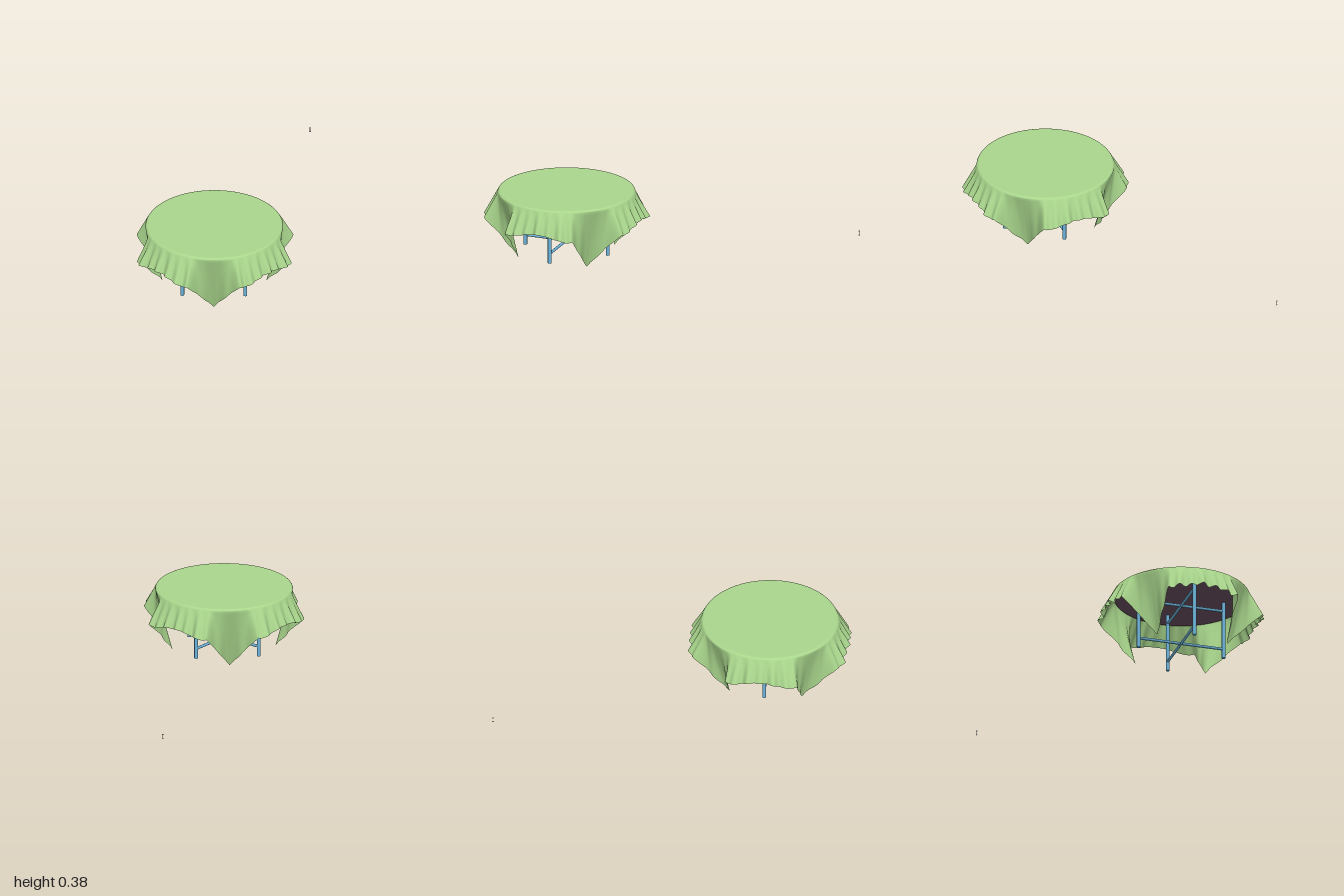
import * as THREE from 'three';

const TOP = 0.38, RIM = 0.4;
const material = (color, side = THREE.FrontSide) => new THREE.MeshStandardMaterial({ color, side });
const smooth = THREE.MathUtils.smoothstep;

// Hem of the square cloth: bulging lobes on the axes, corners tucked in on the diagonals
function hemAt(theta) {
  const quarter = Math.PI / 2;
  const phi = theta - Math.round(theta / quarter) * quarter;
  const s = Math.abs(Math.sin(phi)), c = Math.cos(phi);
  const lobe = 0.456 / Math.pow(c, 0.6), wall = 0.21 / Math.max(s, 0.01);
  const r = Math.pow(Math.pow(lobe, -24) + Math.pow(wall, -24), -1 / 24);
  const along = THREE.MathUtils.clamp((r * c - 0.21) / 0.21, 0, 1); // 0 at corner, 1 at lobe
  const middle = 0.215 + 0.028 * (1 - smooth(Math.abs(phi), 0.05, 0.4));
  return { r, y: THREE.MathUtils.lerp(0.002, middle, along), lobe: smooth(along, 0.15, 1) };
}

function clothGeometry() {
  const segments = 400, bend = 0.018, drops = 20;
  const rows = [];
  // Flat top, then the rounded rim
  [0, 0.13, 0.26, 0.36].forEach(r => rows.push(() => [r, TOP]));
  for (let k = 0; k <= 4; k++) {
    const a = k / 4 * 1.2;
    rows.push(() => [RIM - bend + bend * Math.sin(a), TOP - bend + bend * Math.cos(a)]);
  }
  // Hanging skirt with folds that deepen towards the hem
  const startR = RIM - bend + bend * Math.sin(1.2), startY = TOP - bend + bend * Math.cos(1.2);
  for (let k = 1; k <= drops; k++) {
    const t = k / drops;
    rows.push(theta => {
      const hem = hemAt(theta);
      const wave = Math.cos(40 * theta + 0.6 * Math.sin(3 * theta)) + 0.45 * Math.sin(23 * theta + 1);
      const fold = 0.011 * wave * Math.pow(t, 0.8) * (0.3 + 0.7 * hem.lobe);
      const y = hem.y + 0.005 * wave * hem.lobe;
      return [startR + (hem.r - startR) * t + fold, startY + (y - startY) * t];
    });
  }
  const positions = [], index = [];
  rows.forEach((row, i) => {
    for (let j = 0; j < segments; j++) {
      const theta = j / segments * Math.PI * 2;
      const [r, y] = row(theta);
      positions.push(r * Math.sin(theta), y, r * Math.cos(theta));
      if (i === 0) continue;
      const next = (j + 1) % segments;
      const a = (i - 1) * segments + j, b = (i - 1) * segments + next;
      const c = i * segments + j, d = i * segments + next;
      index.push(c, d, a);
      if (i > 1) index.push(d, b, a);
    }
  });
  const geometry = new THREE.BufferGeometry();
  geometry.setAttribute('position', new THREE.Float32BufferAttribute(positions, 3));
  geometry.setIndex(index);
  geometry.computeVertexNormals();
  // The centre vertices share one upward normal
  for (let j = 0; j < segments; j++) geometry.attributes.normal.setXYZ(j, 0, 1, 0);
  return geometry;
}

export function createModel() {
  const model = new THREE.Group();
  const table = new THREE.Group();
  table.name = 'table';
  table.position.set(-0.522, 0, 0.144);
  model.add(table);

  const add = (parent, name, geometry, mat, x = 0, y = 0, z = 0) => {
    const mesh = new THREE.Mesh(geometry, mat);
    mesh.name = name;
    mesh.position.set(x, y, z);
    parent.add(mesh);
    return mesh;
  };

  add(table, 'tablecloth', clothGeometry(), material(0xa9d68c, THREE.DoubleSide));
  add(table, 'tabletop', new THREE.CylinderGeometry(0.388, 0.388, 0.014, 96), material(0x6b5060), 0, 0.368, 0);

  // Four legs on the axes
  const blue = material(0x6cb4dc);
  const legGeometry = new THREE.CylinderGeometry(0.011, 0.011, 0.353, 20);
  for (let i = 0; i < 4; i++) {
    const a = i * Math.PI / 2;
    add(table, 'leg', legGeometry, blue, 0.258 * Math.sin(a), 0.1865, 0.258 * Math.cos(a));
  }

  // Crossed stretchers near the floor and under the top
  const barGeometry = new THREE.CylinderGeometry(0.008, 0.008, 0.516, 16);
  for (const y of [0.068, 0.31]) {
    add(table, 'crossBar', barGeometry, blue, 0, y, 0).rotation.z = Math.PI / 2;
    add(table, 'crossBar', barGeometry, blue, 0, y, 0).rotation.x = Math.PI / 2;
  }

  // Tiny flanged bracket standing apart from the table
  const bracket = new THREE.Group();
  bracket.name = 'smallBracket';
  bracket.position.set(0.996, 0.066, -0.622);
  const grey = material(0xcccccc);
  add(bracket, 'bracketWeb', new THREE.BoxGeometry(0.002, 0.024, 0.003), grey);
  for (const side of [-1, 1]) {
    add(bracket, 'bracketFlange', new THREE.BoxGeometry(0.008, 0.002, 0.008), grey, 0, side * 0.012, 0);
  }
  model.add(bracket);
  return model;
}
